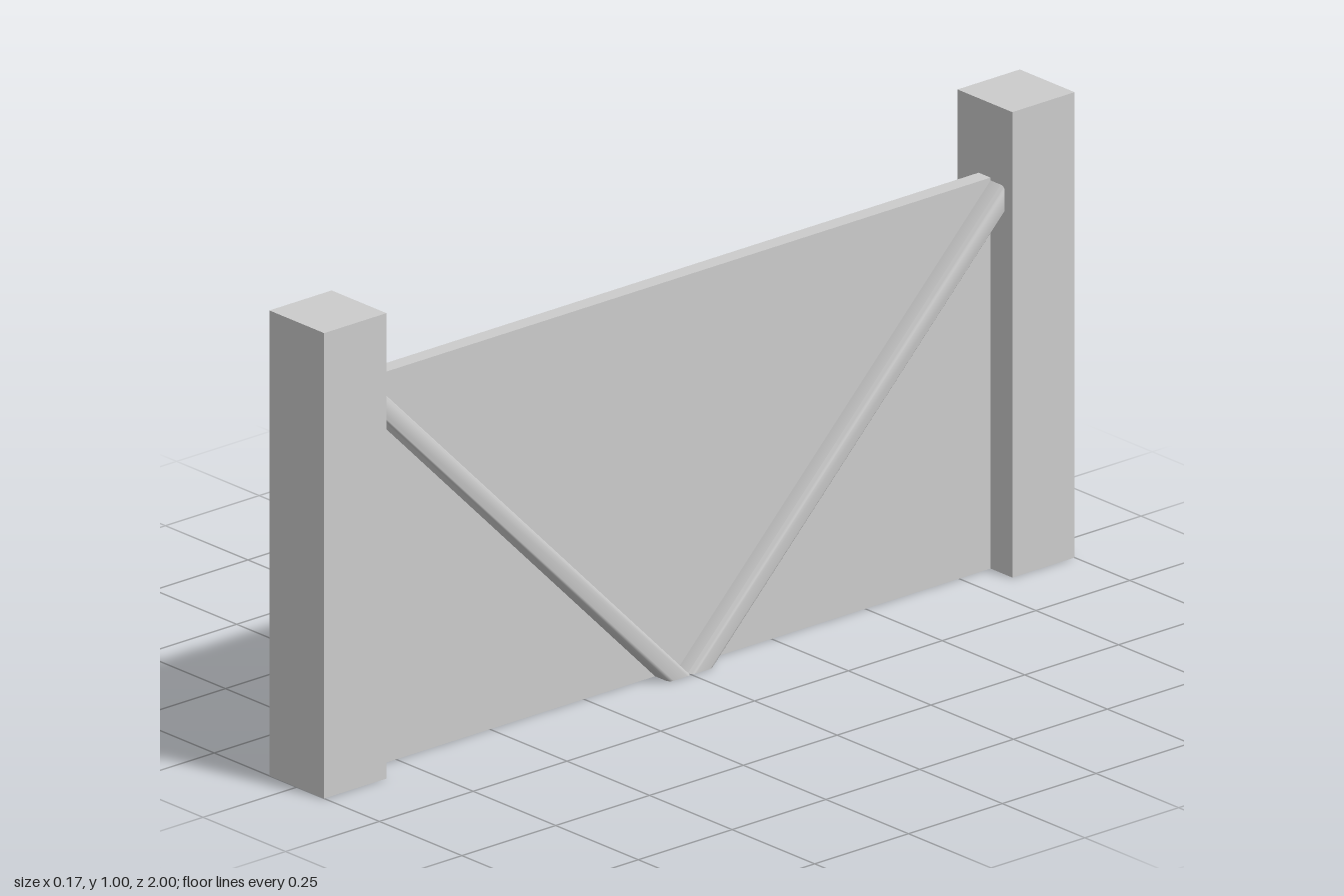
import * as THREE from 'three';
import { toCreasedNormals } from 'three/addons/utils/BufferGeometryUtils.js';

const material = new THREE.MeshStandardMaterial({ color: 0xcccccc });

const POST = 0.166;           // post width
const INNER = 1 - POST;       // where the posts begin along z
const PANEL_H = 0.84;
const PANEL_T = 0.036;
const BAR_D = 0.043;          // how far bars stand out from the panel

function addMesh(group, name, geometry) {
  const mesh = new THREE.Mesh(geometry, material);
  mesh.name = name;
  group.add(mesh);
  return mesh;
}

// Bar along z: flat against the panel at x = 0, rounded on its outer corners, y from -height to 0
function barGeometry(height, length, r) {
  const s = new THREE.Shape();
  s.moveTo(0, -height);
  s.lineTo(BAR_D - r, -height);
  s.quadraticCurveTo(BAR_D, -height, BAR_D, -height + r);
  s.lineTo(BAR_D, -r);
  s.quadraticCurveTo(BAR_D, 0, BAR_D - r, 0);
  s.lineTo(0, 0);
  return new THREE.ExtrudeGeometry(s, { depth: length, bevelEnabled: false, curveSegments: 4 });
}

// Bar sheared to 45 degrees, with a level foot at y = 0 and an upright end at the post
function braceGeometry() {
  const geometry = barGeometry(0.06, INNER, 0.012);
  const p = geometry.attributes.position;
  for (let i = 0; i < p.count; i++) {
    const y = p.getY(i), z = p.getZ(i);
    if (z < 0.001) p.setXYZ(i, p.getX(i), 0, -y);
    else p.setY(i, y + z);
  }
  return toCreasedNormals(geometry, 0.8);
}

export function createModel() {
  const gate = new THREE.Group();
  gate.name = 'fenceSection';

  // Panel between the posts
  addMesh(gate, 'panel', new THREE.BoxGeometry(PANEL_T, PANEL_H, 2 * INNER))
    .position.set(-0.001, PANEL_H / 2, 0);

  // Posts and diagonal braces, mirrored front to back
  const brace = braceGeometry();
  for (const [side, label] of [[1, 'front'], [-1, 'back']]) {
    addMesh(gate, label + 'Post', new THREE.BoxGeometry(POST, 1, POST))
      .position.set(0, 0.5, side * (1 - POST / 2));
    const b = addMesh(gate, label + 'Brace', brace);
    b.position.x = PANEL_T / 2 - 0.001;
    b.scale.z = side;
  }

  // Two level rails on the other face
  const rail = toCreasedNormals(barGeometry(0.045, 2 * INNER, 0.012), 0.8);
  for (const [name, top] of [['lowerRail', 0.187], ['upperRail', 0.684]]) {
    const r = addMesh(gate, name, rail);
    r.rotation.y = Math.PI;
    r.position.set(-PANEL_T / 2 - 0.001, top, INNER);
  }

  return gate;
}
